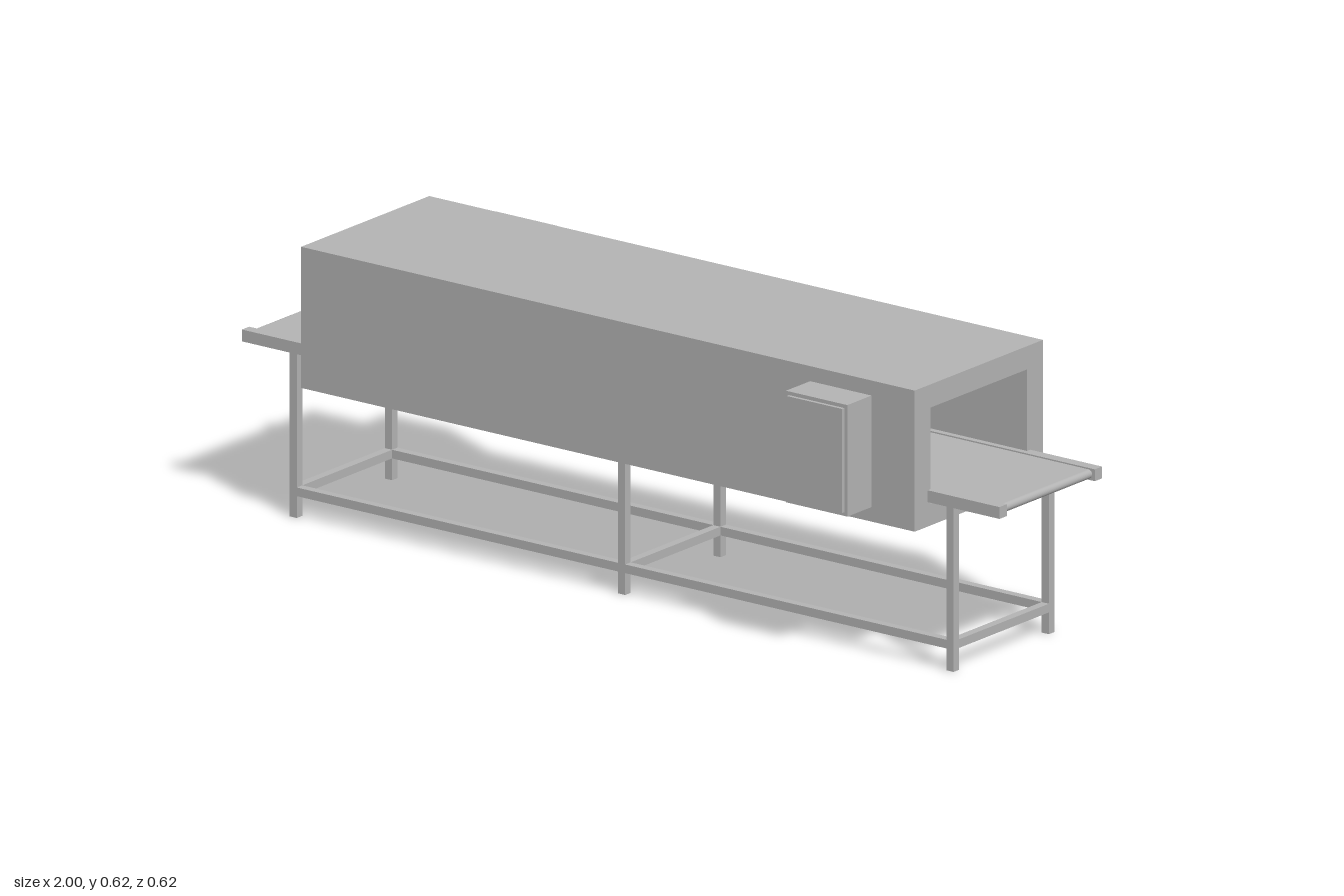
import * as THREE from 'three';

export function createModel() {
  const model = new THREE.Group();
  model.name = 'conveyorTunnel';
  const grey = new THREE.MeshStandardMaterial({ color: 0xb3b3b3 });
  grey.name = 'machine grey';

  const add = (name, geometry, parent = model) => {
    const mesh = new THREE.Mesh(geometry, grey);
    mesh.name = name;
    parent.add(mesh);
    return mesh;
  };
  // Box given by its lower and upper limits on each axis
  const box = (name, x0, x1, y0, y1, z0, z1, parent) => {
    const mesh = add(name, new THREE.BoxGeometry(x1 - x0, y1 - y0, z1 - z0), parent);
    mesh.position.set((x0 + x1) / 2, (y0 + y1) / 2, (z0 + z1) / 2);
    return mesh;
  };
  const rectangle = (path, w, y0, y1) => {
    path.moveTo(-w, y0).lineTo(w, y0).lineTo(w, y1).lineTo(-w, y1).closePath();
    return path;
  };

  // Housing: a rectangular tunnel open at both ends
  const section = rectangle(new THREE.Shape(), 0.22, 0.307, 0.617);
  section.holes.push(rectangle(new THREE.Path(), 0.165, 0.355, 0.566));
  const tunnel = new THREE.ExtrudeGeometry(section, { depth: 1.62, bevelEnabled: false });
  tunnel.translate(0, 0, -0.81).rotateY(Math.PI / 2);
  add('housing', tunnel);

  // Conveyor belt with rounded ends
  const r = 0.01, end = 0.983;
  const loop = new THREE.Shape();
  loop.absarc(end, 0, r, -Math.PI / 2, Math.PI / 2, false);
  loop.absarc(-end, 0, r, Math.PI / 2, Math.PI * 1.5, false);
  loop.closePath();
  const belt = new THREE.ExtrudeGeometry(loop, { depth: 0.304, bevelEnabled: false, curveSegments: 10 });
  belt.translate(0, 0.374, -0.152);
  add('belt', belt);

  // Side rails and lower stretchers along both sides
  for (const s of [-1, 1]) {
    box('beltRail', -1, 1, 0.361, 0.387, s * 0.1635 - 0.0125, s * 0.1635 + 0.0125);
    box('longStretcher', -0.867, 0.867, 0.048, 0.067, s * 0.1635 - 0.0095, s * 0.1635 + 0.0095);
  }

  // Three leg frames joined by cross bars
  for (const x of [-0.867, 0, 0.867]) {
    const frame = new THREE.Group();
    frame.name = 'legFrame';
    model.add(frame);
    const top = x === 0 ? 0.31 : 0.361;
    for (const s of [-1, 1]) {
      box('leg', x - 0.0095, x + 0.0095, 0, top, s * 0.1635 - 0.0095, s * 0.1635 + 0.0095, frame);
    }
    box('crossBar', x - 0.0095, x + 0.0095, 0.048, 0.067, -0.156, 0.156, frame);
  }

  // Control cabinets, one on each side at opposite ends
  for (const turn of [0, Math.PI]) {
    const cabinet = new THREE.Group();
    cabinet.name = 'controlCabinet';
    box('cabinetBody', 0.534, 0.696, 0.339, 0.584, 0.219, 0.303, cabinet);
    box('cabinetDoor', 0.542, 0.688, 0.347, 0.576, 0.302, 0.311, cabinet);
    cabinet.rotation.y = turn;
    model.add(cabinet);
  }

  return model;
}
